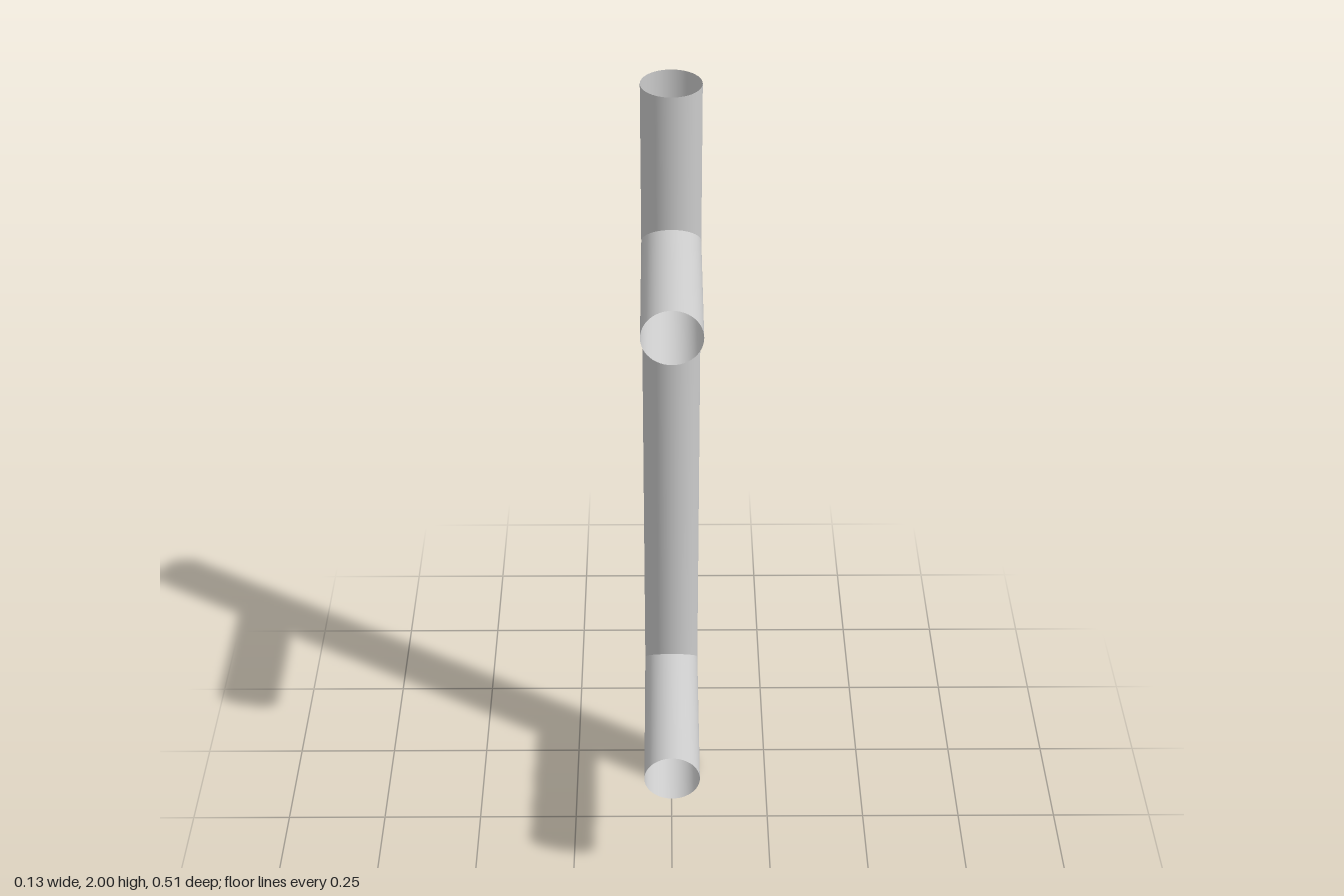
import * as THREE from 'three';

const RADIUS = 0.067;
const BAR_Z = -0.19;

export function createModel() {
  const group = new THREE.Group();
  const material = new THREE.MeshStandardMaterial({ color: 0xcccccc, side: THREE.DoubleSide });

  // Thin open-ended pipe, along y
  const pipe = (name, length) => {
    const mesh = new THREE.Mesh(
      new THREE.CylinderGeometry(RADIUS, RADIUS, length, 48, 1, true), material);
    mesh.name = name;
    group.add(mesh);
    return mesh;
  };

  // Upright grip bar
  pipe('gripBar', 2).position.set(0, 1, BAR_Z);

  // Mounting posts run forward from the axis of the bar
  const posts = [
    ['upperPost', 1.616, 0.21],
    ['lowerPost', 0.388, 0.257],
  ];
  for (const [name, y, frontZ] of posts) {
    const post = pipe(name, frontZ - BAR_Z);
    post.rotation.x = Math.PI / 2;
    post.position.set(0, y, (frontZ + BAR_Z) / 2);
  }
  return group;
}
